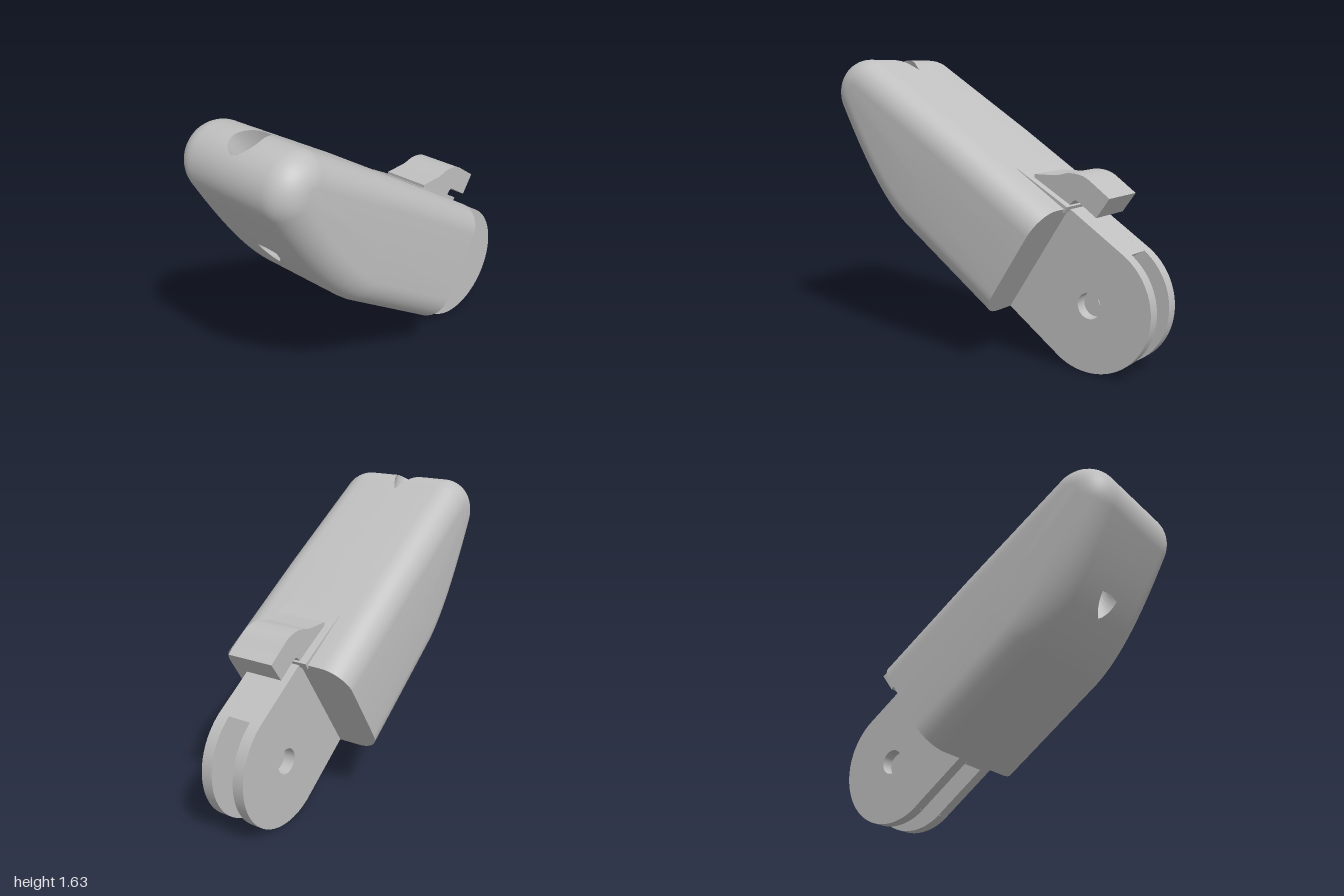
import * as THREE from 'three';
import { mergeGeometries, toCreasedNormals } from 'three/addons/utils/BufferGeometryUtils.js';

const grey = new THREE.MeshStandardMaterial({ color: 0xbfbfbf, side: THREE.DoubleSide });
grey.name = 'grey';

function makeMesh(name, geometry, crease = 0.5) {
  const mesh = new THREE.Mesh(toCreasedNormals(geometry, crease), grey);
  mesh.name = name;
  return mesh;
}

// Surface from a rule giving [x, y, z] at each row and column
function grid(rows, cols, point, flip) {
  const pos = [], index = [];
  for (let i = 0; i <= rows; i++)
    for (let j = 0; j <= cols; j++) pos.push(...point(i, j));
  for (let i = 0; i < rows; i++)
    for (let j = 0; j < cols; j++) {
      const a = i * (cols + 1) + j, b = a + cols + 1;
      if (flip) index.push(a, a + 1, b, b, a + 1, b + 1);
      else index.push(a, b, a + 1, b, b + 1, a + 1);
    }
  const g = new THREE.BufferGeometry();
  g.setAttribute('position', new THREE.Float32BufferAttribute(pos, 3));
  g.setIndex(index);
  return g;
}

// Side outline drawn in (z, y), extruded across x
function extrudeX(shape, x0, x1) {
  const g = new THREE.ExtrudeGeometry(shape, { depth: x1 - x0, bevelEnabled: false, curveSegments: 40 });
  return g.rotateY(-Math.PI / 2).translate(x1, 0, 0);
}
const polygon = (pts) => new THREE.Shape(pts.map((p) => new THREE.Vector2(...p)));

// Half width of the cord hole where it breaks the tip and the underside
function tipHole(p) {
  const f = (0.94 - p.x) / 0.28;
  if (p.y < 1.5 || f <= 0 || f >= 1) return 0;
  return 0.08 * (f < 0.3 ? Math.sqrt(1 - ((0.3 - f) / 0.3) ** 2) : 1 - ((f - 0.3) / 0.7) ** 1.4);
}
function lowerHole(p) {
  const f = (1.015 - p.y) / 0.11;
  if (p.x < 0.65 || f < 0 || f >= 1) return 0;
  return 0.07 * (1 - f * f) ** 0.8;
}

function createBody() {
  // Side outline from the top back edge, round the tip, to the bottom back edge
  const path = new THREE.Path();
  path.moveTo(-0.51, 0.86);
  path.lineTo(0.08, 1.228);
  path.lineTo(0.706, 1.6);
  path.absarc(0.805, 1.435, 0.193, 2.11, -0.52, true);
  path.bezierCurveTo(0.835, 1.09, 0.66, 0.80, 0.46, 0.67);
  path.lineTo(-0.13, 0.275);
  const pts = path.getSpacedPoints(320), n = pts.length;

  // Inward direction at each outline point; the ends slide along the back face
  const inward = pts.map((p, i) => {
    if (i === 0) return new THREE.Vector2(0.545, -0.838);
    if (i === n - 1) return new THREE.Vector2(-0.545, 0.838);
    const t = pts[i + 1].clone().sub(pts[i - 1]).normalize();
    return new THREE.Vector2(t.y, -t.x);
  });

  // Each half: flat middle, rounded edge, flat side closed to a centre point
  const R = 0.15, steps = 10;
  const half = (s) => grid(n, steps + 2, (i, j) => {
    const k = i % n, p = pts[k];
    if (j === 0) return [s * (tipHole(p) + lowerHole(p)), p.y, p.x];
    if (j === steps + 2) return [s * 0.4, 0.9, 0.25];
    const a = ((j - 1) / steps) * Math.PI / 2;
    const q = p.clone().addScaledVector(inward[k], R * (1 - Math.cos(a)));
    return [s * (0.4 - R + R * Math.sin(a)), q.y, q.x];
  }, s < 0);

  // Curved tunnel joining the two openings
  const rim = (width, reverse) => {
    const ids = pts.map((p, i) => i).filter((i) => width(pts[i]) > 0);
    const list = [ids[0] - 1, ...ids, ids[ids.length - 1] + 1].map((i) => ({ p: pts[i], w: width(pts[i]) }));
    if (reverse) list.reverse();
    return (t) => {
      const f = t * (list.length - 1), i = Math.min(Math.floor(f), list.length - 2);
      const a = list[i], b = list[i + 1], u = f - i;
      return { p: a.p.clone().lerp(b.p, u), w: a.w + (b.w - a.w) * u };
    };
  };
  const top = rim(tipHole, true), low = rim(lowerHole, false), M = 32, K = 20;
  const tunnelHalf = (s) => grid(M, K, (i, j) => {
    const t = i / M, u = j / K, a = top(t), b = low(t);
    const c = new THREE.Vector2(0.68, 1.25).lerp(new THREE.Vector2(0.5, 1.3), t);
    const wa = (1 - u) ** 2, wc = 2 * u * (1 - u), wb = u * u;
    const mid = 0.08 * Math.sin(Math.PI * t);
    return [s * (wa * a.w + wc * mid + wb * b.w),
      wa * a.p.y + wc * c.y + wb * b.p.y, wa * a.p.x + wc * c.x + wb * b.p.x];
  }, s < 0);

  const group = new THREE.Group();
  group.name = 'body';
  group.add(makeMesh('shell', mergeGeometries([half(1), half(-1)])));
  group.add(makeMesh('cordHole', mergeGeometries([tunnelHalf(1), tunnelHalf(-1)]), 0.8));
  return group;
}

function createFork() {
  const group = new THREE.Group();
  group.name = 'fork';
  // Two rounded arms with a pin hole
  const arm = new THREE.Shape();
  arm.moveTo(-0.51, 0.86);
  arm.lineTo(-0.13, 0.275);
  arm.lineTo(-0.447, 0.058);
  arm.absarc(-0.64, 0.355, 0.355, -0.995, -0.995 - Math.PI, true);
  arm.closePath();
  const hole = new THREE.Path();
  hole.absarc(-0.64, 0.36, 0.07, 0, Math.PI * 2, false);
  arm.holes.push(hole);
  group.add(makeMesh('leftArm', extrudeX(arm, 0.067, 0.132)));
  group.add(makeMesh('rightArm', extrudeX(arm, -0.132, -0.067)));
  // Web closing the slot between the arms
  const web = polygon([[-0.51, 0.86], [-0.13, 0.275], [-0.145, 0.262], [-0.845, 0.645]]);
  group.add(makeMesh('web', extrudeX(web, -0.067, 0.067)));
  return group;
}

function createLatch() {
  const group = new THREE.Group();
  group.name = 'latch';
  // Slightly raised plate at the back of the top face
  const plate = polygon([[-0.21, 1.05], [-0.527, 0.872], [-0.51, 0.84], [-0.21, 0.99]]);
  group.add(makeMesh('latchPlate', extrudeX(plate, -0.18, 0.18)));
  // Hooked thumb tab
  const tab = new THREE.Shape();
  tab.moveTo(-0.29, 0.99);
  tab.lineTo(-0.29, 1.022);
  tab.lineTo(-0.42, 1.025);
  tab.bezierCurveTo(-0.47, 1.03, -0.48, 1.043, -0.52, 1.043);
  tab.bezierCurveTo(-0.58, 1.042, -0.61, 1.03, -0.65, 1.0);
  tab.lineTo(-0.75, 0.93);
  tab.lineTo(-0.675, 0.825);
  tab.lineTo(-0.565, 0.9);
  tab.quadraticCurveTo(-0.54, 0.915, -0.515, 0.875);
  tab.lineTo(-0.5, 0.84);
  tab.closePath();
  group.add(makeMesh('thumbTab', extrudeX(tab, -0.135, 0.135)));
  return group;
}

export function createModel() {
  const model = new THREE.Group();
  model.name = 'buckleArm';
  model.add(createBody(), createFork(), createLatch());
  return model;
}
